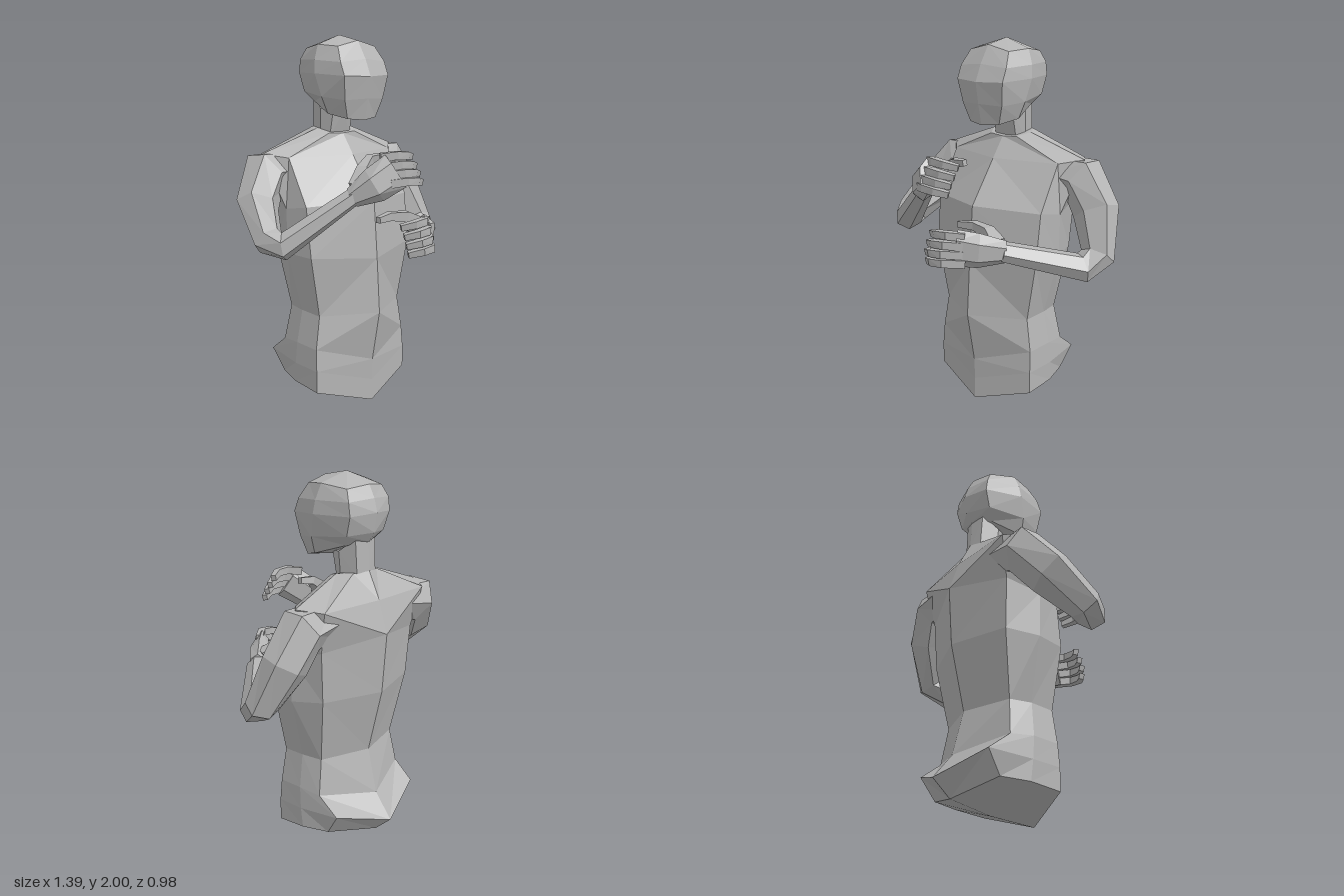
import * as THREE from 'three';

const V = (x, y, z) => new THREE.Vector3(x, y, z);
const clay = new THREE.MeshStandardMaterial({ color: 0xb4b4b4, flatShading: true });
clay.name = 'clayGrey';

// Skin a stack of equal-sized rings and close both ends with fans
function loft(name, rings, startApex, endApex) {
  const pos = [];
  const tri = (...pts) => pts.forEach((p) => pos.push(p.x, p.y, p.z));
  const n = rings[0].length;
  for (let j = 0; j < n; j++) {
    const k = (j + 1) % n;
    for (let i = 0; i + 1 < rings.length; i++) {
      const a = rings[i], b = rings[i + 1];
      // Diagonals mirror across the two halves of the ring
      if (j < n / 2) {
        tri(a[j], a[k], b[j]);
        tri(a[k], b[k], b[j]);
      } else {
        tri(a[j], a[k], b[k]);
        tri(a[j], b[k], b[j]);
      }
    }
    const first = rings[0], last = rings[rings.length - 1];
    tri(startApex, first[k], first[j]);
    tri(endApex, last[j], last[k]);
  }
  const geo = new THREE.BufferGeometry();
  geo.setAttribute('position', new THREE.Float32BufferAttribute(pos, 3));
  geo.computeVertexNormals();
  const mesh = new THREE.Mesh(geo, clay);
  mesh.name = name;
  return mesh;
}

// Half ring (front centre, front side, side, back side, back centre) mirrored in x
const bodyRing = (...half) => {
  const pts = half.map((p) => V(...p));
  const other = [3, 2, 1].map((i) => V(-pts[i].x, pts[i].y, pts[i].z));
  return [...pts, ...other];
};

// Faceted tube through stations [x, y, z, halfWidth, halfHeight]; turn shifts the corners by a share of a side
function limb(name, stations, sides, turn = 0.5) {
  const c = stations.map((s) => V(s[0], s[1], s[2]));
  const dir = (i) => c[i + 1].clone().sub(c[i]).normalize();
  const last = c.length - 1;
  const grow = 1 / Math.cos(Math.PI / sides);
  let u = null;
  const rings = stations.map((s, i) => {
    const t = V(0, 0, 0);
    if (i > 0) t.add(dir(i - 1));
    if (i < last) t.add(dir(i));
    t.normalize();
    u = u ? u.clone().addScaledVector(t, -u.dot(t)) : V(0, 1, 0).cross(t);
    u.normalize();
    const v = t.clone().cross(u);
    return Array.from({ length: sides }, (_, j) => {
      const a = ((j + turn) / sides) * Math.PI * 2;
      return c[i].clone()
        .addScaledVector(u, Math.cos(a) * s[3] * grow)
        .addScaledVector(v, Math.sin(a) * s[4] * grow);
    });
  });
  return loft(name, rings, c[0], c[last]);
}

// Palm, thumb and four curled fingers; fingers run from the top one down
function hand(name, palm, thumb, fingers, dx) {
  const g = new THREE.Group();
  g.name = name;
  g.add(limb('palm', palm, 6), limb('thumb', thumb, 4));
  fingers.forEach(([x, y, z, bow]) => g.add(limb('finger', [
    [x - dx * 0.04, y - 0.005, z - 0.03, 0.022, 0.021],
    [x + dx * 0.03, y + 0.005, z + bow, 0.02, 0.02],
    [x + dx * 0.10, y, z + bow * 1.1, 0.018, 0.019],
    [x + dx * 0.165, y - 0.015, z + bow - 0.035, 0.014, 0.016],
  ], 4)));
  return g;
}

export function createModel() {
  const model = new THREE.Group();
  model.name = 'figureBust';
  const body = new THREE.Group();
  body.name = 'body';
  body.position.x = -0.013;
  model.add(body);

  // Torso, from the pelvis up to the neck base
  body.add(loft('torso', [
    bodyRing([0, 0, 0.115], [0.325, 0.1, 0.03], [0.33, 0.12, -0.15], [0.29, 0.13, -0.3], [0, 0.07, -0.39]),
    bodyRing([0, 0.12, 0.115], [0.325, 0.22, 0.03], [0.335, 0.23, -0.14], [0.31, 0.25, -0.38], [0, 0.16, -0.49]),
    bodyRing([0, 0.24, 0.12], [0.32, 0.34, 0.022], [0.33, 0.35, -0.13], [0.315, 0.34, -0.26], [0, 0.29, -0.385]),
    bodyRing([0, 0.52, 0.175], [0.29, 0.52, 0.015], [0.3, 0.53, -0.12], [0.28, 0.53, -0.24], [0, 0.53, -0.325]),
    bodyRing([0, 0.82, 0.155], [0.355, 0.85, 0.03], [0.385, 0.86, -0.13], [0.33, 0.88, -0.3], [0, 0.88, -0.41]),
    bodyRing([0, 1.13, 0.13], [0.36, 1.12, 0.0], [0.39, 1.1, -0.13], [0.35, 1.15, -0.31], [0, 1.2, -0.435]),
    bodyRing([0, 1.365, -0.04], [0.36, 1.365, -0.14], [0.46, 1.385, -0.24], [0.38, 1.37, -0.36], [0, 1.37, -0.38]),
    bodyRing([0, 1.475, -0.12], [0.09, 1.48, -0.13], [0.13, 1.5, -0.2], [0.09, 1.505, -0.28], [0, 1.51, -0.31]),
  ], V(0, 0.02, -0.15), V(0, 1.5, -0.21)));

  // Neck
  body.add(loft('neck', [
    bodyRing([0, 1.46, -0.145], [0.07, 1.46, -0.15], [0.095, 1.47, -0.2], [0.07, 1.48, -0.29], [0, 1.49, -0.31]),
    bodyRing([0, 1.6, -0.11], [0.07, 1.6, -0.12], [0.1, 1.61, -0.19], [0.075, 1.68, -0.28], [0, 1.69, -0.3]),
  ], V(0, 1.47, -0.22), V(0, 1.64, -0.2)));

  // Head, from the jaw to the crown
  body.add(loft('head', [
    bodyRing([0, 1.555, 0.055], [0.1, 1.565, 0.03], [0.15, 1.59, -0.07], [0.1, 1.645, -0.24], [0, 1.66, -0.305]),
    bodyRing([0, 1.67, 0.08], [0.135, 1.665, 0.05], [0.185, 1.68, -0.08], [0.14, 1.7, -0.28], [0, 1.71, -0.34]),
    bodyRing([0, 1.785, 0.1], [0.155, 1.79, 0.07], [0.205, 1.8, -0.11], [0.15, 1.8, -0.31], [0, 1.81, -0.355]),
    bodyRing([0, 1.875, 0.06], [0.155, 1.86, 0.04], [0.197, 1.87, -0.12], [0.15, 1.87, -0.3], [0, 1.88, -0.335]),
    bodyRing([0, 1.97, 0], [0.13, 1.94, -0.01], [0.165, 1.95, -0.13], [0.13, 1.93, -0.27], [0, 1.945, -0.3]),
  ], V(0, 1.575, -0.12), V(0, 2, -0.15)));

  // Arms, shoulder to wrist
  model.add(limb('leftArm', [
    [0.27, 1.3, -0.255, 0.1, 0.08], [0.42, 1.28, -0.26, 0.105, 0.115],
    [0.525, 1.12, -0.245, 0.09, 0.115], [0.6, 0.91, -0.16, 0.068, 0.085],
    [0.565, 0.86, -0.075, 0.062, 0.075], [0.28, 0.96, 0.225, 0.04, 0.055],
  ], 6, 0));
  model.add(limb('rightArm', [
    [-0.27, 1.3, -0.255, 0.1, 0.08], [-0.44, 1.28, -0.26, 0.105, 0.115],
    [-0.55, 1.13, -0.18, 0.085, 0.11], [-0.61, 0.98, -0.01, 0.068, 0.08],
    [-0.57, 0.955, 0.065, 0.062, 0.068], [-0.25, 1.205, 0.25, 0.04, 0.045],
  ], 6, 0));

  // Hands, held in front of the chest
  model.add(hand('leftHand', [
    [0.29, 0.957, 0.215, 0.042, 0.052], [0.19, 0.965, 0.31, 0.052, 0.08], [0.1, 0.98, 0.385, 0.035, 0.085],
  ], [
    [0.24, 0.99, 0.23, 0.04, 0.035], [0.16, 1.035, 0.2, 0.028, 0.028],
    [0.05, 1.045, 0.18, 0.02, 0.022], [-0.05, 1.04, 0.2, 0.014, 0.016],
  ], [[0.1, 1.045, 0.39, 0.03], [0.1, 1.0, 0.405, 0.04], [0.1, 0.955, 0.41, 0.05], [0.11, 0.91, 0.405, 0.06]], -1));
  model.add(hand('rightHand', [
    [-0.27, 1.19, 0.24, 0.042, 0.045], [-0.19, 1.255, 0.32, 0.055, 0.08], [-0.1, 1.325, 0.38, 0.035, 0.085],
  ], [
    [-0.24, 1.24, 0.25, 0.04, 0.035], [-0.17, 1.32, 0.215, 0.028, 0.028],
    [-0.09, 1.365, 0.18, 0.02, 0.022], [-0.01, 1.375, 0.19, 0.014, 0.016],
  ], [[-0.1, 1.395, 0.34, 0.015], [-0.1, 1.35, 0.37, 0.015], [-0.1, 1.31, 0.395, 0.015], [-0.1, 1.27, 0.415, 0.015]], 1));

  return model;
}
